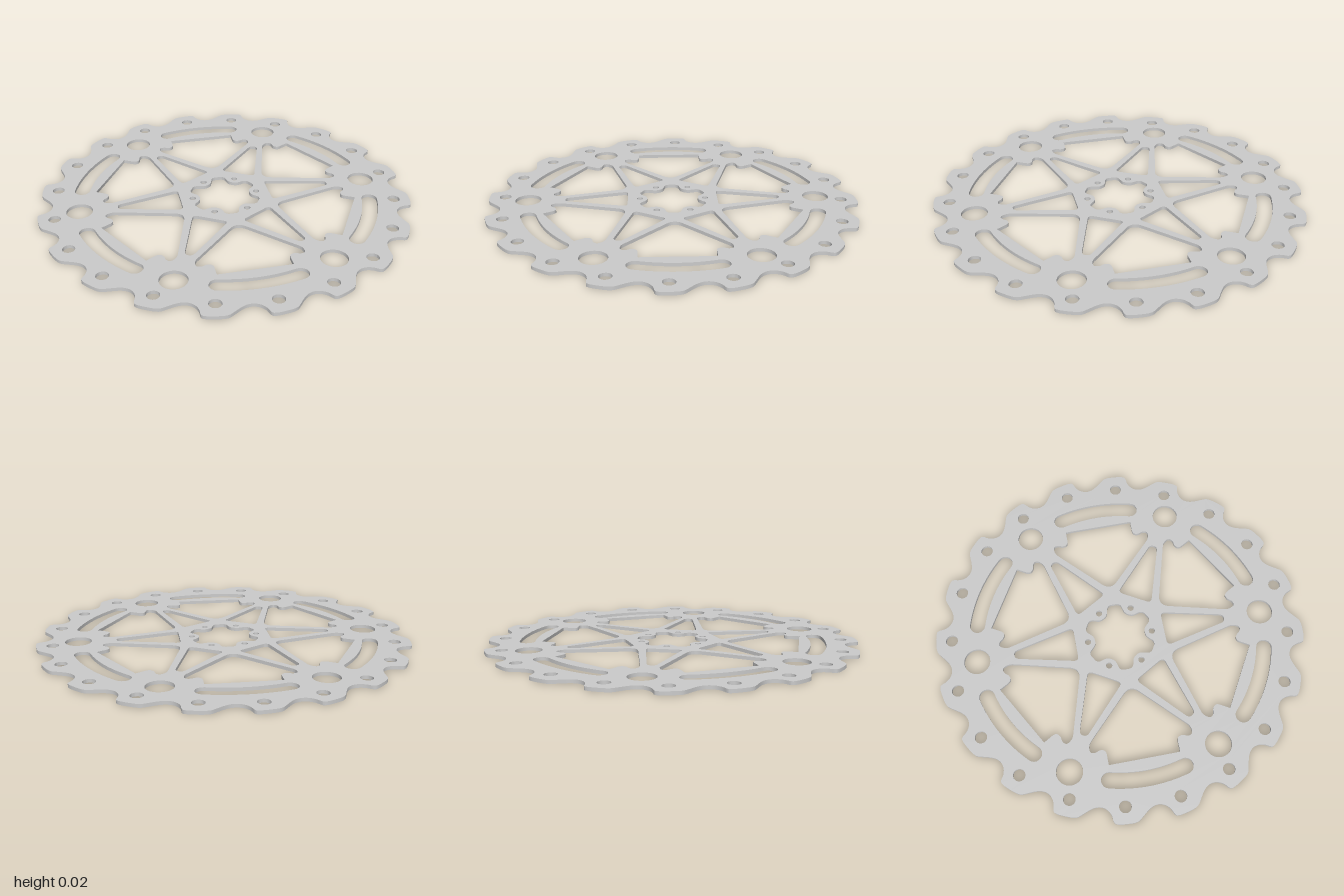
import * as THREE from 'three';
import { toCreasedNormals } from 'three/addons/utils/BufferGeometryUtils.js';

const THICKNESS = 0.018;
const rad = THREE.MathUtils.degToRad;

// Point at distance r along a clockwise-from-top direction, shifted sideways by t
function at(deg, r, t = 0) {
  const a = rad(deg), s = Math.sin(a), c = Math.cos(a);
  return new THREE.Vector2(r * s + t * c, r * c - t * s);
}

function circle(center, radius) {
  return new THREE.Path().absarc(center.x, center.y, radius, 0, Math.PI * 2);
}

// Closed smooth counter-clockwise curve through polar points [degrees, radius] repeated round the centre
function wave(profile, count, samples) {
  const pts = [];
  for (let i = 0; i < count; i++)
    for (const [deg, r] of profile) {
      const p = at(deg + i * 360 / count, r);
      pts.push(new THREE.Vector3(p.x, p.y, 0));
    }
  return new THREE.CatmullRomCurve3(pts.reverse(), true, 'centripetal')
    .getPoints(samples).slice(0, -1).map(p => new THREE.Vector2(p.x, p.y));
}

// Polygon whose corners are rounded off by the given distances
function rounded(points, radii) {
  const path = new THREE.Path();
  points.forEach((p, i) => {
    const cut = q => {
      const d = p.distanceTo(q);
      return p.clone().lerp(q, Math.min(radii[i], d * 0.48) / d);
    };
    const a = cut(points.at(i - 1)), b = cut(points[(i + 1) % points.length]);
    if (i === 0) path.moveTo(a.x, a.y); else path.lineTo(a.x, a.y);
    path.quadraticCurveTo(p.x, p.y, b.x, b.y);
  });
  path.closePath();
  return path;
}

// Curved slot in the rim, with round ends
function arcSlot(deg, inner, outer, halfAngle) {
  const mid = (inner + outer) / 2, cap = (outer - inner) / 2;
  const pts = [];
  const side = (r, sign) => {
    for (let i = -12; i <= 12; i++) pts.push(at(deg + sign * i * halfAngle / 12, r));
    const end = deg + sign * halfAngle, c = at(end, mid);
    for (let a = 18; a < 180; a += 18)
      pts.push(c.clone().add(at(end + a + (sign > 0 ? 0 : 180), cap)));
  };
  side(outer, 1);
  side(inner, -1);
  return new THREE.Path(pts);
}

// Large opening between two neighbouring mounting pads
function spokeWindow(deg) {
  // [sideways, radial, rounding] measured from the pad's own axis
  const edge = [[0.178, 0.684, 0.004], [0.14, 0.617, 0.025], [0.108, 0.624, 0.02],
    [0.092, 0.65, 0.02], [0.062, 0.656, 0.02], [0.045, 0.615, 0.02]];
  const cuts = edge.map(e => e[2]);
  const points = [
    ...edge.map(([t, r]) => at(deg - 30, r, t)),
    at(deg, 0.28),
    ...edge.map(([t, r]) => at(deg + 30, r, -t)).reverse(),
  ];
  return rounded(points, [...cuts, 0.06, ...cuts.slice().reverse()]);
}

export function createModel() {
  const group = new THREE.Group();
  group.name = 'brakeDisc';

  // Scalloped rim with twenty hooked teeth
  const tooth = [[-0.6, 0.992], [2.4, 1.0], [5.9, 1.0], [6.5, 0.99], [7.1, 0.962],
    [8.3, 0.937], [10.2, 0.923], [12.3, 0.927], [14.2, 0.946], [15.8, 0.97]];
  const disc = new THREE.Shape(wave(tooth, 20, 600));

  // Small holes, one in each tooth
  for (let i = 0; i < 20; i++) disc.holes.push(circle(at(3 + i * 18, 0.915), 0.032));

  // Lobed centre opening
  const lobe = [[0, 0.138], [9, 0.144], [14, 0.16], [18, 0.181], [23, 0.191],
    [30, 0.191], [37, 0.191], [42, 0.181], [46, 0.16], [51, 0.144]];
  disc.holes.push(new THREE.Path(wave(lobe, 6, 240)));

  for (let i = 0; i < 6; i++) {
    const pad = i * 60, gap = pad + 30;
    // Mounting pad hole and hub bolt hole
    disc.holes.push(circle(at(pad, 0.783), 0.07), circle(at(pad, 0.177), 0.017));
    // Narrow opening between a pair of spokes
    disc.holes.push(rounded(
      [at(pad, 0.582, -0.021), at(pad, 0.582, 0.021), at(pad, 0.244, 0.098), at(pad, 0.244, -0.098)],
      [0.025, 0.025, 0.03, 0.03]));
    // Openings between the pads
    disc.holes.push(spokeWindow(gap), arcSlot(gap, 0.742, 0.825, 14.8));
  }

  const extruded = new THREE.ExtrudeGeometry(disc,
    { depth: THICKNESS, bevelEnabled: false, curveSegments: 14 });
  extruded.rotateX(-Math.PI / 2);
  const mesh = new THREE.Mesh(toCreasedNormals(extruded, rad(35)),
    new THREE.MeshStandardMaterial({ color: 0xcccccc }));
  mesh.name = 'disc';
  group.add(mesh);
  return group;
}
